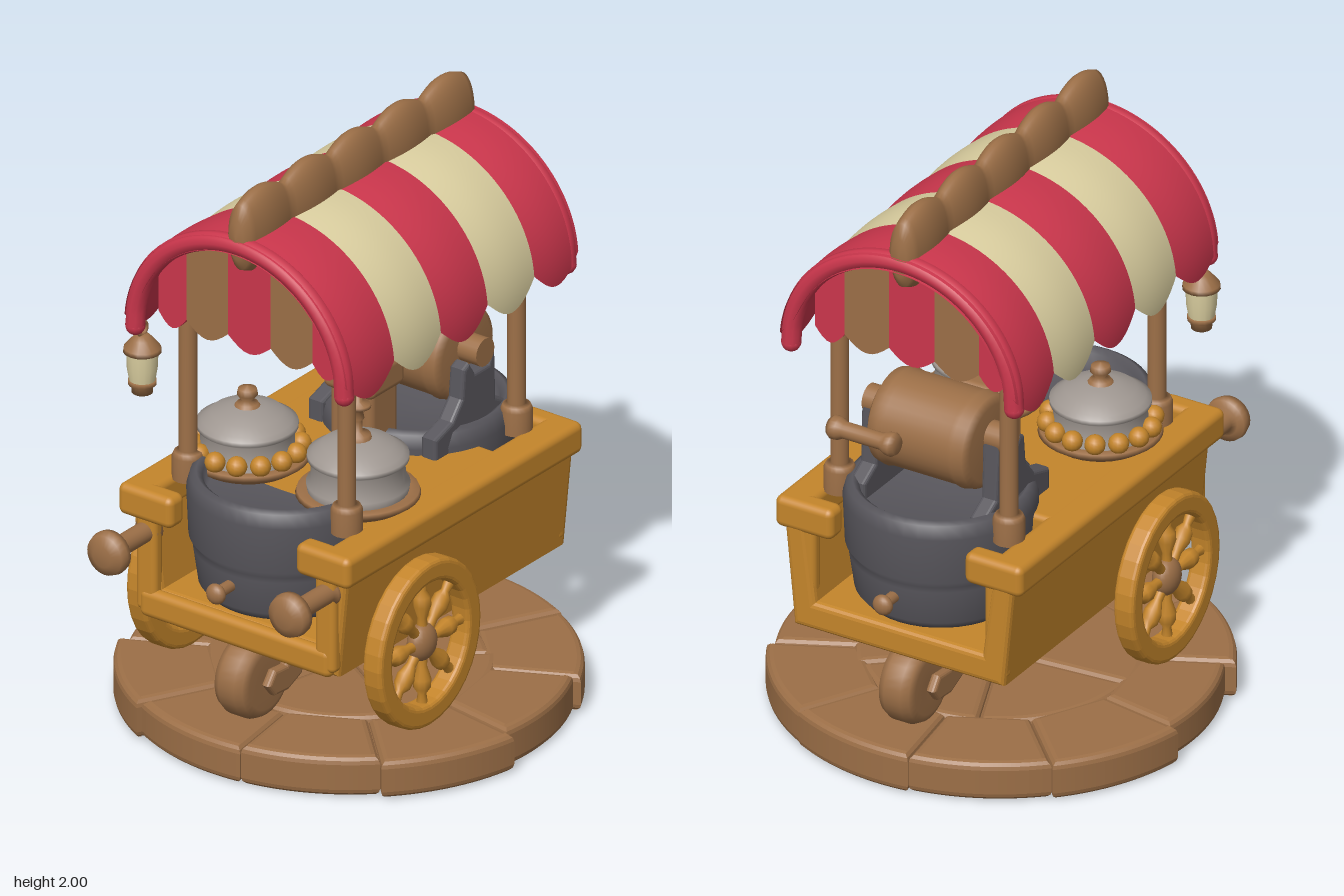
import * as THREE from 'three';
import { RoundedBoxGeometry } from 'three/addons/geometries/RoundedBoxGeometry.js';
import { ParametricGeometry } from 'three/addons/geometries/ParametricGeometry.js';

const mat = (name, color, side = THREE.FrontSide) => {
  const m = new THREE.MeshStandardMaterial({ color, side });
  m.name = name;
  return m;
};

export function createModel() {
  const wood = mat('brown wood', 0x9c6f47, THREE.DoubleSide);
  const amber = mat('amber wood', 0xc4852b);
  const red = mat('red cloth', 0xcb364c, THREE.DoubleSide);
  const cream = mat('cream cloth', 0xdbcfa0, THREE.DoubleSide);
  const iron = mat('dark iron', 0x58565c, THREE.DoubleSide);
  const steel = mat('grey metal', 0x9f9791);
  const root = new THREE.Group();

  const add = (name, geo, m, x = 0, y = 0, z = 0, parent = root) => {
    const mesh = new THREE.Mesh(geo, m);
    mesh.name = name;
    mesh.position.set(x, y, z);
    parent.add(mesh);
    return mesh;
  };
  const lathe = (pts, seg = 32, start = 0, len = Math.PI * 2) =>
    new THREE.LatheGeometry(pts.map(p => new THREE.Vector2(p[0], p[1])), seg, start, len);
  const box = (w, h, d, r = 0.02) => new RoundedBoxGeometry(w, h, d, 3, r);
  // extrusion centred on its depth, with rounded edges
  const slab = (shape, depth, bevel = 0.012) => {
    const g = new THREE.ExtrudeGeometry(shape, { depth: depth - 2 * bevel, bevelEnabled: bevel > 0,
      bevelSize: bevel, bevelThickness: bevel, bevelOffset: -bevel, bevelSegments: 3, curveSegments: 16 });
    return g.translate(0, 0, bevel - depth / 2);
  };
  const poly = pts => new THREE.Shape(pts.map(p => new THREE.Vector2(p[0], p[1])));

  // cobbled round base: a core with two rings of rounded stones
  add('baseCore', new THREE.CylinderGeometry(0.68, 0.68, 0.1, 40), wood, 0, 0.065);
  const stoneRing = (count, r0, r1, offset) => {
    for (let i = 0; i < count; i++) {
      const a = offset + (i / count) * Math.PI * 2, b = a + (Math.PI * 2) / count;
      const r = r1 + 0.02 * Math.sin(i * 2.4);
      const s = new THREE.Shape();
      s.moveTo(r0 * Math.cos(a), r0 * Math.sin(a));
      s.lineTo(r * Math.cos(a), r * Math.sin(a));
      s.absarc(0, 0, r, a, b, false);
      s.lineTo(r0 * Math.cos(b), r0 * Math.sin(b));
      add('baseStone', slab(s, 0.135 + 0.005 * Math.sin(i * 3), 0.025), wood, 0, 0.07).rotation.x = -Math.PI / 2;
    }
  };
  stoneRing(10, 0.44, 0.735, 0.15);
  stoneRing(5, 0.03, 0.45, 0.4);

  // U-shaped cart body, run along x
  const body = slab(poly([[-0.39, 0.41], [0.39, 0.41], [0.43, 0.82], [0.35, 0.82], [0.31, 0.51],
    [-0.31, 0.51], [-0.35, 0.82], [-0.43, 0.82]]), 1.2, 0.02);
  add('cartBody', body, amber, 0.015).rotation.y = Math.PI / 2;
  add('deck', box(0.7, 0.1, 0.76), amber, -0.06, 0.81);
  for (const s of [-1, 1]) {
    add('sideRail', box(1.24, 0.11, 0.12, 0.025), amber, 0, 0.805, s * 0.4);
    for (const e of [-1, 1]) {
      add('railEnd', box(0.08, 0.11, 0.2, 0.025), amber, e * 0.58, 0.805, s * 0.345);
      add('endPost', box(0.05, 0.4, 0.08), amber, e * 0.585, 0.63, s * 0.355);
    }
  }
  for (const e of [-1, 1]) add('endSill', box(0.05, 0.1, 0.76, 0.025), amber, e * 0.59, 0.46);

  // iron tubs at both ends, with a bolt each
  const tub = [[0, 0.53], [0.25, 0.53], [0.275, 0.56], [0.292, 0.68], [0.286, 0.695], [0.305, 0.72],
    [0.312, 0.88], [0.3, 0.925], [0.28, 0.935], [0.26, 0.92], [0.245, 0.865], [0, 0.86]];
  add('rightTub', lathe(tub, 40), iron, 0.355);
  add('leftTub', lathe(tub, 24, Math.PI, Math.PI), iron, -0.345);
  for (const e of [-1, 1]) {
    add('tubBolt', new THREE.CylinderGeometry(0.02, 0.02, 0.1, 12), wood, e * 0.66, 0.64).rotation.z = Math.PI / 2;
    add('tubBoltHead', new THREE.SphereGeometry(0.035, 16, 12), wood, e * 0.705, 0.64).scale.x = 0.7;
  }

  // large spoked side wheels
  for (const s of [-1, 1]) {
    const wheel = new THREE.Group();
    wheel.name = 'spokedWheel';
    wheel.position.set(-0.245, 0.43, s * 0.47);
    wheel.scale.y = 1.08;
    root.add(wheel);
    const ring = new THREE.Shape().absarc(0, 0, 0.267, 0, Math.PI * 2);
    ring.holes.push(new THREE.Path().absarc(0, 0, 0.198, 0, Math.PI * 2, true));
    const rim = slab(ring, 0.075, 0.015);
    add('wheelRim', rim, amber, 0, 0, 0, wheel);
    const spoke = lathe([[0.018, 0.04], [0.016, 0.08], [0.03, 0.12], [0.028, 0.15], [0.014, 0.17], [0.02, 0.21]], 10);
    for (let i = 0; i < 8; i++) add('spoke', spoke, amber, 0, 0, 0, wheel).rotation.z = i * Math.PI / 4;
    add('wheelHub', new THREE.SphereGeometry(0.06, 20, 14), wood, 0, 0, 0, wheel).scale.z = 0.7;
  }

  // small casters under both ends
  for (const e of [-1, 1]) {
    const x = e * 0.515;
    const disc = lathe([[0, -0.06], [0.1, -0.065], [0.125, -0.055], [0.138, -0.03], [0.138, 0.03],
      [0.125, 0.055], [0.1, 0.065], [0, 0.06]]);
    add('casterWheel', disc, wood, x, 0.278).rotation.x = Math.PI / 2;
    const arm = poly([[-0.17, 0.15], [-0.17, 0.06], [-0.13, -0.02], [-0.06, -0.05], [0.01, -0.045],
      [0.045, 0], [0.01, 0.045], [-0.05, 0.04], [-0.08, 0.09], [-0.08, 0.15]]);
    for (const s of [-1, 1]) {
      const a = add('casterArm', slab(arm, 0.035), wood, x, 0.28, s * 0.085);
      if (e < 0) a.rotation.y = Math.PI;
    }
    add('casterMount', box(0.12, 0.05, 0.2), wood, e * 0.39, 0.4);
  }

  // push handles
  const handle = lathe([[0, 0], [0.045, 0], [0.045, 0.03], [0.034, 0.04], [0.034, 0.19], [0.05, 0.2],
    [0.072, 0.205], [0.075, 0.225], [0.068, 0.25], [0.035, 0.265], [0, 0.265]], 24);
  for (const s of [-1, 1]) add('pushHandle', handle, wood, -0.565, 0.71, s * 0.36).rotation.z = Math.PI / 2;

  // canopy posts
  const post = lathe([[0.052, 0.85], [0.052, 0.93], [0.045, 0.945], [0.03, 0.95], [0.03, 1.66]], 20);
  for (const x of [-0.435, 0.455]) for (const s of [-1, 1]) add('canopyPost', post, wood, x, 0, s * 0.315);

  // striped arched canopy with scalloped hems
  const edges = [-0.605, -0.35, -0.105, 0.14, 0.385, 0.615];
  const canopy = (x0, x1, inner) => new ParametricGeometry((u, v, p) => {
    const puff = Math.sin(Math.PI * u), s = 2 * v - 1;
    const a0 = Math.asin((0.03 - 0.075 * puff) / 0.43);
    const a = a0 + (Math.PI - 2 * a0) * v;
    const t = 0.008 * puff - (inner ? 0.05 * (1 - Math.pow(Math.abs(s), 14)) : 0);
    p.set(x0 + (x1 - x0) * u, 1.43 + (0.42 + t) * Math.sin(a), (0.44 + t) * Math.cos(a));
  }, 14, 48);
  for (let i = 0; i < 5; i++) {
    add('canopyStripe', canopy(edges[i], edges[i + 1], false), i % 2 ? cream : red);
    add('canopyLining', canopy(edges[i], edges[i + 1], true), i % 2 ? wood : red);
  }
  for (const x of [-0.58, 0.585]) {
    const pts = [];
    for (let i = 0; i <= 16; i++) {
      const a = -0.03 + (Math.PI + 0.06) * i / 16;
      pts.push(new THREE.Vector3(x, 1.43 + 0.395 * Math.sin(a), 0.415 * Math.cos(a)));
    }
    add('canopyEndRoll', new THREE.TubeGeometry(new THREE.CatmullRomCurve3(pts), 48, 0.033, 10), red);
    for (const p of [pts[0], pts[16]]) add('canopyRollTip', new THREE.SphereGeometry(0.033, 12, 8), red, p.x, p.y, p.z);
  }

  // striped curtain hanging inside each canopy end
  const cuts = [-0.36, -0.25, -0.085, 0.085, 0.25, 0.36];
  for (const x of [-0.52, 0.52]) for (let i = 0; i < 5; i++) {
    const [a, b] = [cuts[i], cuts[i + 1]], pts = [];
    for (let k = 0; k <= 8; k++) pts.push([a + (b - a) * k / 8, 1.465 - 0.045 * Math.sin(Math.PI * k / 8)]);
    for (let k = 8; k >= 0; k--) {
      const z = a + (b - a) * k / 8;
      pts.push([z, 1.43 + 0.38 * Math.sqrt(1 - (z / 0.4) ** 2)]);
    }
    add('endCurtain', slab(poly(pts), 0.02, 0), i % 2 ? wood : red, x).rotation.y = Math.PI / 2;
  }

  // lobed ridge along the roof
  const ridgePts = [[0, -0.605]];
  for (let i = 0; i <= 60; i++) {
    const lobe = Math.abs(Math.sin(Math.PI * i / 12));
    ridgePts.push([i % 60 ? 0.105 + 0.04 * lobe : 0.07, -0.6 + 1.21 * i / 60]);
  }
  ridgePts.push([0, 0.612]);
  const ridge = add('roofRidge', lathe(ridgePts, 28), wood, 0, 1.855);
  ridge.rotation.z = -Math.PI / 2;
  ridge.scale.z = 0.4;

  // hanging lantern
  const lantern = new THREE.Group();
  lantern.name = 'lantern';
  lantern.position.set(-0.55, 0, -0.41);
  root.add(lantern);
  add('lanternGlass', lathe([[0.04, 1.2], [0.05, 1.26], [0.052, 1.32]], 16), cream, 0, 0, 0, lantern);
  add('lanternBase', lathe([[0, 1.17], [0.034, 1.17], [0.036, 1.195], [0.046, 1.2], [0.046, 1.215], [0, 1.215]], 16), wood, 0, 0, 0, lantern);
  add('lanternCap', lathe([[0, 1.315], [0.062, 1.315], [0.06, 1.33], [0.035, 1.36], [0.02, 1.375], [0, 1.375]], 16), wood, 0, 0, 0, lantern);
  add('lanternRing', new THREE.TorusGeometry(0.022, 0.007, 8, 16), wood, 0, 1.395, 0, lantern);

  // covered dishes on trays
  const tray = lathe([[0, 0.85], [0.15, 0.85], [0.2, 0.885], [0.195, 0.9], [0.17, 0.9], [0, 0.9]]);
  const dome = lathe([[0.162, 0.9], [0.166, 0.925], [0.152, 0.935], [0.15, 1.0], [0.163, 1.01], [0.163, 1.025],
    [0.145, 1.035], [0.115, 1.06], [0.06, 1.078], [0, 1.085]], 36);
  const spire = lathe([[0.045, 1.075], [0.04, 1.095], [0.015, 1.105], [0.013, 1.14], [0.02, 1.15], [0.015, 1.175],
    [0.042, 1.19], [0.04, 1.2], [0.014, 1.21], [0.012, 1.228], [0, 1.232]], 16);
  const knob = lathe([[0.045, 1.075], [0.035, 1.09], [0.018, 1.1], [0.034, 1.12], [0.03, 1.14], [0, 1.15]], 16);
  for (const s of [-1, 1]) {
    add('dishTray', tray, wood, -0.25, 0, s * 0.22);
    add('dishCover', dome, steel, -0.25, s < 0 ? -0.02 : 0, s * 0.22);
    add('dishKnob', s < 0 ? knob : spire, wood, -0.25, s < 0 ? -0.02 : 0, s * 0.22);
  }
  for (let i = 0; i < 14; i++) {
    const a = i / 14 * Math.PI * 2;
    add('bun', new THREE.SphereGeometry(0.034, 14, 10), amber, -0.25 + 0.17 * Math.cos(a), 0.925, -0.22 + 0.17 * Math.sin(a));
  }

  // upright box beside the drum
  add('uprightBox', box(0.15, 0.32, 0.17, 0.025), wood, 0.07, 1.0);
  add('uprightBoxLid', box(0.185, 0.11, 0.2, 0.025), wood, 0.07, 1.125);

  // roller drum in iron brackets, and its crank grip
  const drum = lathe([[0, -0.19], [0.13, -0.19], [0.155, -0.175], [0.163, -0.14], [0.158, -0.12], [0.158, 0.12],
    [0.163, 0.14], [0.155, 0.175], [0.13, 0.19], [0, 0.19]], 36);
  add('rollerDrum', drum, wood, 0.36, 1.12).rotation.x = Math.PI / 2;
  const bracket = poly([[0.11, 0.85], [0.11, 0.93], [0.2, 0.96], [0.25, 1.02], [0.26, 1.12], [0.29, 1.135],
    [0.32, 1.09], [0.39, 1.09], [0.42, 1.15], [0.43, 0.96], [0.5, 0.92], [0.5, 0.85]]);
  for (const s of [-1, 1]) {
    add('drumBracket', slab(bracket, 0.06), iron, 0, 0, s * 0.225);
    add('drumAxle', new THREE.CylinderGeometry(0.048, 0.048, 0.08, 20), wood, 0.357, 1.15, s * 0.225).rotation.x = Math.PI / 2;
  }
  const grip = lathe([[0, -0.125], [0.03, -0.125], [0.04, -0.11], [0.038, -0.09], [0.028, -0.07], [0.028, 0.07],
    [0.038, 0.09], [0.04, 0.11], [0.03, 0.125], [0, 0.125]], 20);
  add('crankGrip', grip, wood, 0.79, 1.29, 0.018).rotation.x = Math.PI / 2;

  return root;
}
